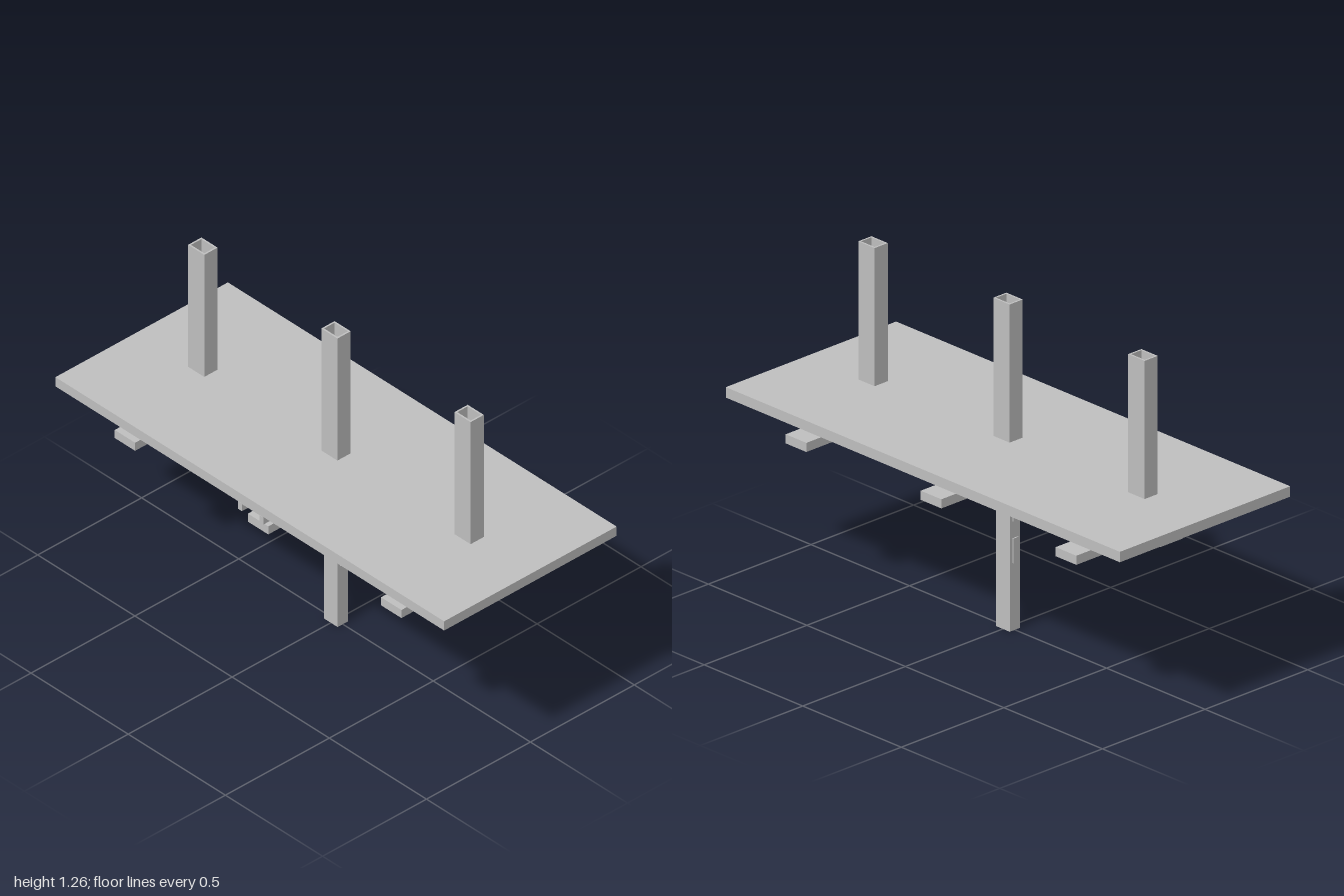
import * as THREE from 'three';

const metal = new THREE.MeshStandardMaterial({ color: 0xbfbfbf });
metal.name = 'light grey';

export function createModel() {
  const model = new THREE.Group();
  model.name = 'panelMount';

  const add = (name, geometry, x = 0, y = 0, z = 0) => {
    const mesh = new THREE.Mesh(geometry, metal);
    mesh.name = name;
    mesh.position.set(x, y, z);
    model.add(mesh);
    return mesh;
  };
  // Box given by its centre in x and z, and its bottom and top heights
  const slab = (name, w, y0, y1, d, x = 0, z = 0) =>
    add(name, new THREE.BoxGeometry(w, y1 - y0, d), x, (y0 + y1) / 2, z);
  // Upright rectangular ring: used for hollow posts and the rail frame
  const ring = (name, w, d, wallX, wallZ, y0, y1, x = 0, z = 0) => {
    const rect = (Type, a, b) => {
      const p = new Type();
      p.moveTo(-a, -b);
      p.lineTo(a, -b);
      p.lineTo(a, b);
      p.lineTo(-a, b);
      p.closePath();
      return p;
    };
    const shape = rect(THREE.Shape, w / 2, d / 2);
    shape.holes.push(rect(THREE.Path, w / 2 - wallX, d / 2 - wallZ));
    const geo = new THREE.ExtrudeGeometry(shape, { depth: y1 - y0, bevelEnabled: false });
    geo.rotateX(-Math.PI / 2);
    return add(name, geo, x, y0, z);
  };

  // Table panel
  slab('panel', 2, 0.69, 0.73, 0.83);

  for (const x of [-0.685, 0, 0.685]) {
    // Hollow posts, open at the top
    ring('post', 0.083, 0.064, 0.007, 0.007, 0.73, 1.26, x);
    // Cross arms under the panel, with pads on the spine
    slab('crossArm', 0.105, 0.585, 0.62, 0.75, x);
    slab('spinePad', 0.175, 0.64, 0.655, 0.13, x);
    // Shims between rail frame and panel
    for (const z of [-0.25, 0.25]) slab('railShim', 0.1, 0.682, 0.69, 0.045, x, z);
  }

  // Rail frame and its middle tie
  ring('railFrame', 1.72, 0.56, 0.04, 0.05, 0.653, 0.683);
  slab('middleTie', 0.1, 0.655, 0.683, 0.47);
  slab('middleTieShim', 0.06, 0.683, 0.69, 0.08);

  // Long spine joining the cross arms
  slab('spine', 1.66, 0.585, 0.64, 0.11);

  // Single leg with shallow side plates
  slab('leg', 0.07, 0, 0.585, 0.05);
  for (const y of [0.26, 0.42]) {
    for (const side of [-1, 1]) slab('legSidePlate', 0.006, y, y + 0.095, 0.025, side * 0.037);
  }

  // Release lever in front of the leg
  const lever = add('lever', new THREE.BoxGeometry(0.03, 0.012, 0.088), 0, 0.563, 0.068);
  lever.rotation.x = 0.24;
  slab('leverPivot', 0.03, 0.575, 0.587, 0.025, 0, 0.02);

  // Small front handle hung from the panel
  slab('handlePlate', 0.13, 0.682, 0.69, 0.06, 0, 0.38);
  for (const side of [-1, 1]) slab('handleLug', 0.02, 0.652, 0.684, 0.035, side * 0.055, 0.393);
  slab('handlePin', 0.02, 0.668, 0.684, 0.012, 0, 0.357);

  return model;
}
